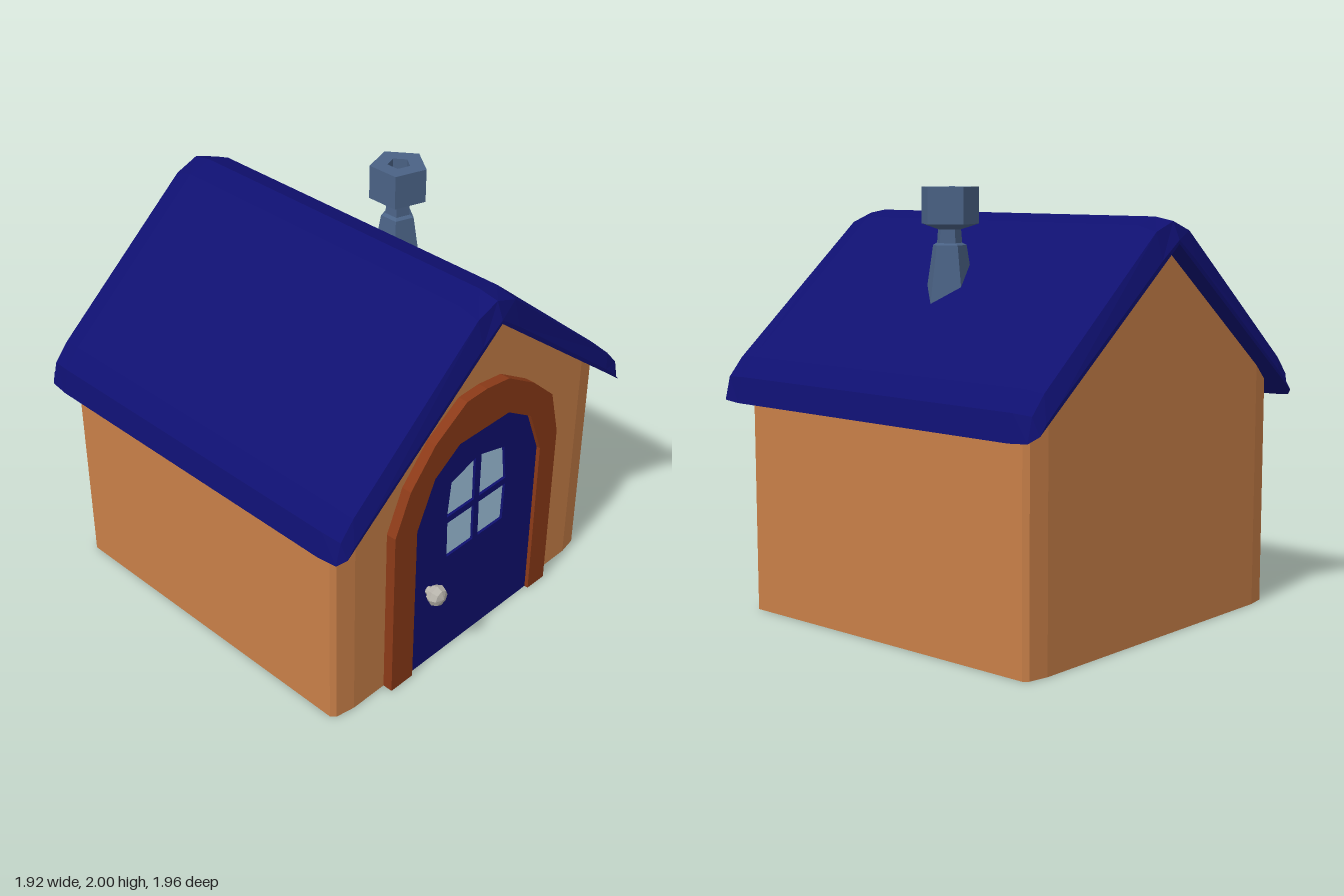
import * as THREE from 'three';

const paint = (color) => new THREE.MeshStandardMaterial({ color, flatShading: true, side: THREE.DoubleSide });
const WALL = paint(0xc87f48), TRIM = paint(0x8b3a18), NAVY = paint(0x0f1070);
const SLATE = paint(0x4a6285), GLASS = paint(0xa3c8e2), METAL = paint(0xb8b4ac);

function part(name, geometry, material, x = 0, y = 0, z = 0) {
  const mesh = new THREE.Mesh(geometry, material);
  mesh.name = name;
  mesh.position.set(x, y, z);
  return mesh;
}

// Collects four-cornered faces into one flat-shaded geometry
function quads(list) {
  const pos = [];
  for (const [a, b, c, d] of list) pos.push(...a, ...b, ...c, ...a, ...c, ...d);
  const g = new THREE.BufferGeometry();
  g.setAttribute('position', new THREE.Float32BufferAttribute(pos, 3));
  g.computeVertexNormals();
  return g;
}

const shapeOf = (pts) => new THREE.Shape(pts.map(([x, y]) => new THREE.Vector2(x, y)));
const slab = (shape, depth) => new THREE.ExtrudeGeometry(shape, { depth, bevelEnabled: false });
const gableY = (x) => 1.76 - 0.79 * Math.abs(x);

// Open-bottomed walls: a plan with softened corners, raised to the gable line
function wallGeometry() {
  const quarter = [[0.875, 0.815], [0.855, 0.838], [0.76, 0.855]];
  const mirrorX = (pts) => pts.map(([x, z]) => [-x, z]).reverse();
  const front = [...quarter, [0, 0.855], ...mirrorX(quarter)];
  const back = front.map(([x, z]) => [-x, -z - 0.035]);
  const plan = [...front, ...back];
  return quads(plan.map(([x, z], i) => {
    const [u, w] = plan[(i + 1) % plan.length];
    return [[u, 0, w], [x, 0, z], [x, gableY(x), z], [u, gableY(u), w]];
  }));
}

// Thick folded roof whose ends round over towards the underside
function roofGeometry() {
  const outer = [[0.96, 1.0], [0.935, 1.12], [0.86, 1.21], [0.12, 1.84], [0, 1.875]];
  const inner = [0.91, 0.87, 0.8, 0.12, 0].map((x) => [x, gableY(x)]);
  const both = (pts) => [...pts, ...pts.slice(0, -1).reverse().map(([x, y]) => [-x, y])];
  const top = both(outer), under = both(inner).reverse();
  const sections = [[-0.98, 0.85], [-0.945, 0.15], [-0.85, 0], [0.83, 0], [0.93, 0.15], [0.963, 0.85]];
  const rings = sections.map(([z, t]) => [
    ...top.map(([x, y], i) => {
      const [u, v] = under[under.length - 1 - i];
      return [x + (u - x) * t, y + (v - y) * t, z];
    }),
    ...under.map(([x, y]) => [x, y, z]),
  ]);
  const faces = [], n = rings[0].length;
  for (let k = 0; k + 1 < rings.length; k++) {
    for (let i = 0; i < n; i++) {
      const j = (i + 1) % n;
      faces.push([rings[k][i], rings[k][j], rings[k + 1][j], rings[k + 1][i]]);
    }
  }
  const first = rings[0], last = rings[rings.length - 1];
  for (let i = 0; i + 1 < top.length; i++) {
    faces.push([last[i], last[i + 1], last[n - 2 - i], last[n - 1 - i]]);
    faces.push([first[i + 1], first[i], first[n - 1 - i], first[n - 2 - i]]);
  }
  return quads(faces);
}

// Turned shape with few sides, one corner facing +x
const turned = (profile, sides) => new THREE.LatheGeometry(
  profile.map(([r, y]) => new THREE.Vector2(r, y)), sides, Math.PI / 2);

export function createModel() {
  const house = new THREE.Group();
  house.name = 'cottage';
  house.add(part('walls', wallGeometry(), WALL), part('roof', roofGeometry(), NAVY));

  // Ceiling panels just under the roof
  house.add(part('ceiling', quads([-1, 1].map((s) => {
    const e = 0.78 * s, y0 = gableY(0) - 0.012, y1 = gableY(e) - 0.012;
    return [[0, y0, -0.8], [e, y1, -0.8], [e, y1, 0.77], [0, y0, 0.77]];
  })), WALL));

  // Arched door frame, passing through the wall
  const opening = [[-0.425, 0], [-0.425, 0.86], [-0.32, 1.09], [-0.165, 1.195],
    [0.165, 1.195], [0.33, 1.09], [0.42, 0.86], [0.42, 0]];
  const arch = [[-0.565, 0], [-0.565, 0.9], [-0.475, 1.105], [-0.325, 1.275], [-0.13, 1.4], [0, 1.405],
    [0.15, 1.385], [0.335, 1.27], [0.48, 1.135], [0.54, 0.9], [0.54, 0]];
  house.add(part('doorFrame', slab(shapeOf([...arch, ...opening.slice().reverse()]), 0.105), TRIM, 0, 0, 0.8));

  // Door with four window panes set in
  const panes = [
    [[-0.205, 0.8], [-0.185, 0.985], [-0.025, 1.035], [-0.02, 0.8]],
    [[0.015, 0.8], [0.015, 1.035], [0.175, 0.99], [0.2, 0.8]],
    [[-0.2, 0.765], [-0.02, 0.765], [-0.015, 0.565], [-0.195, 0.565]],
    [[0.015, 0.765], [0.2, 0.765], [0.195, 0.565], [0.02, 0.565]],
  ];
  const door = shapeOf(opening);
  door.holes = panes.map(shapeOf);
  house.add(part('door', slab(door, 0.022), NAVY, 0, 0, 0.863));
  panes.forEach((p) => house.add(part('windowPane', new THREE.ShapeGeometry(shapeOf(p)), GLASS, 0, 0, 0.872)));

  // Faceted door knob on a short stem
  const knob = part('doorKnob', turned([[0.02, -0.07], [0.02, -0.04], [0.04, -0.03], [0.052, 0],
    [0.04, 0.028], [0, 0.042]], 8), METAL, -0.315, 0.445, 0.94);
  knob.rotation.x = Math.PI / 2;
  house.add(knob);

  // Five-sided chimney with a hollow flared cap
  house.add(part('chimney', turned([[0.132, 1.42], [0.113, 1.54], [0.08, 1.74], [0.06, 1.75], [0.055, 1.81],
    [0.137, 1.835], [0.137, 2], [0.055, 2], [0.05, 1.5]], 5), SLATE, 0.418, 0, -0.013));

  return house;
}
